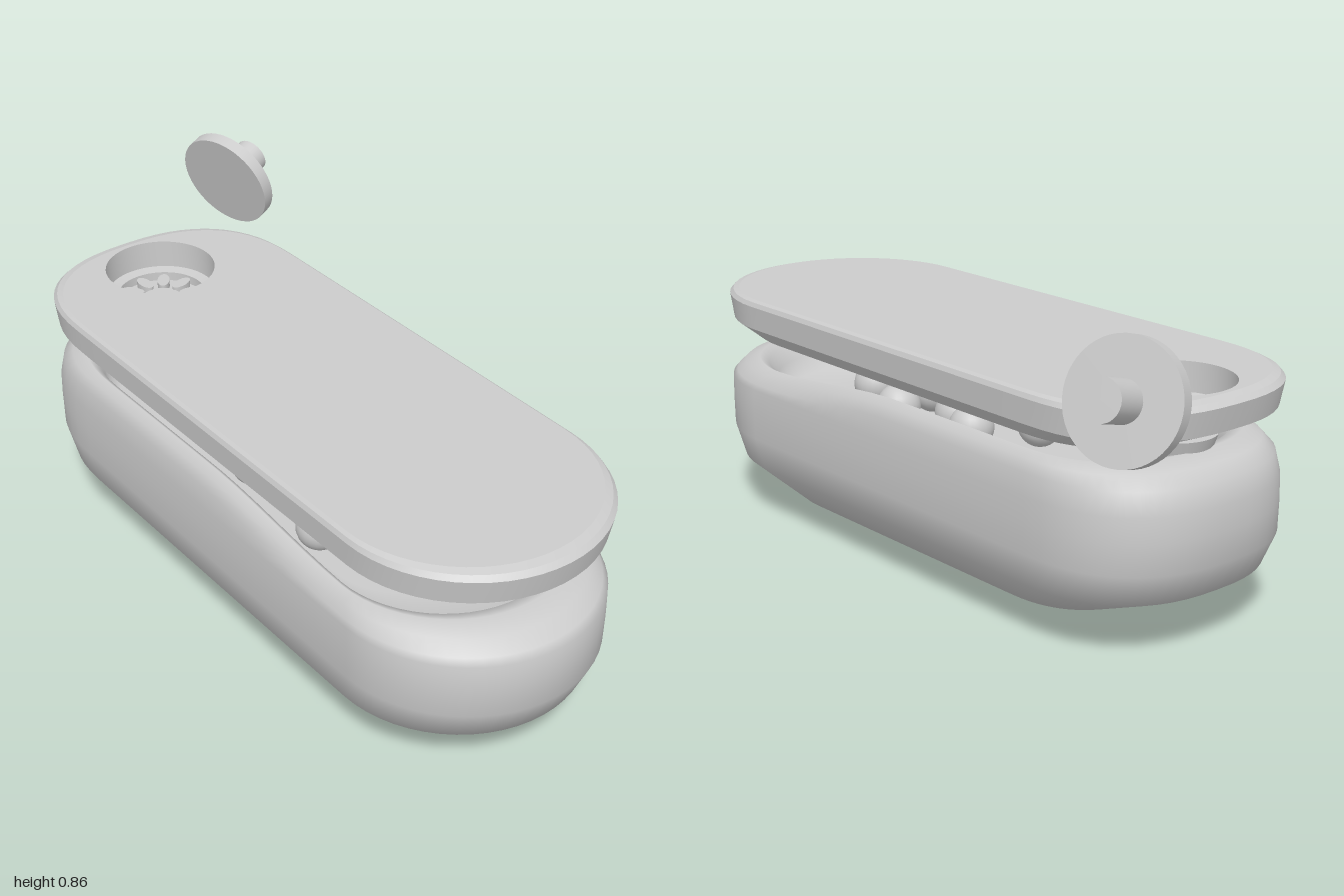
import * as THREE from 'three';
import { toCreasedNormals } from 'three/addons/utils/BufferGeometryUtils.js';

const CX = 0.085, CZ = 0.083, HOLE_X = -0.63;
const mat = new THREE.MeshStandardMaterial({ color: 0xcccccc });
const thin = new THREE.MeshStandardMaterial({ color: 0xcccccc, side: THREE.DoubleSide });

function add(parent, name, geometry, material = mat) {
  const mesh = new THREE.Mesh(geometry, material);
  mesh.name = name;
  parent.add(mesh);
  return mesh;
}

// Plan outline about its centre: round right end, squarer left end
function outline() {
  const R = 0.345, half = 0.57, n = 28, s = 14, pts = [];
  for (let i = 0; i < n; i++) {
    const a = -Math.PI / 2 + Math.PI * i / n;
    pts.push([half + R * Math.cos(a), R * Math.sin(a)]);
  }
  for (let i = 0; i < s; i++) pts.push([half - 2 * half * i / s, R]);
  for (let i = 0; i < n; i++) {
    const a = Math.PI * i / n, c = Math.cos(a);
    pts.push([-half - R * Math.sin(a) ** 0.8, R * Math.sign(c) * Math.abs(c) ** 0.8]);
  }
  for (let i = 0; i < s; i++) pts.push([-half + 2 * half * i / s, -R]);
  return pts;
}
const plan = outline();

// Skin scaled copies of the outline; height is a number or a rule of x
function loft(profile) {
  const pos = [], idx = [], n = plan.length;
  for (const [k, y] of profile)
    for (const [px, pz] of plan) {
      const x = CX + px * k;
      pos.push(x, typeof y === 'function' ? y(x) : y, CZ + pz * k);
    }
  for (let j = 0; j < profile.length - 1; j++)
    for (let i = 0; i < n; i++) {
      const a = j * n + i, b = j * n + (i + 1) % n;
      if (profile[j][0] > 0) idx.push(a, a + n, b);
      if (profile[j + 1][0] > 0) idx.push(b, a + n, b + n);
      else if (profile[j][0] === 0) idx.push(b, a + n, b + n);
    }
  const g = new THREE.BufferGeometry();
  g.setAttribute('position', new THREE.Float32BufferAttribute(pos, 3));
  g.setIndex(idx);
  g.computeVertexNormals();
  return g;
}

export function createModel() {
  const model = new THREE.Group();
  model.name = 'openCase';

  // Bowl with a rim that dips toward the right end
  const rim = d => x => 0.487 - 0.042 * THREE.MathUtils.smoothstep(x, 0.05, 0.6) - d;
  add(model, 'bowl', loft([
    [0, 0], [0.72, 0.063], [0.957, 0.155], [0.998, 0.24], [1, 0.32], [0.998, 0.385],
    [0.98, rim(0.045)], [0.94, rim(0.016)], [0.88, rim(0)], [0.84, rim(0.01)],
    [0.81, rim(0.05)], [0.77, 0.35], [0.6, 0.34], [0, 0.34],
  ]));

  // Loose beads in the bowl
  const beads = new THREE.Group();
  beads.name = 'beads';
  model.add(beads);
  const bead = new THREE.SphereGeometry(0.06, 24, 16);
  const spots = [[-0.12, 0.12], [0.0, 0.22], [0.1, 0.02], [0.16, 0.2], [0.3, 0.1],
    [0.32, 0.25], [0.45, 0.18], [0.46, 0.02], [-0.02, -0.03], [0.25, -0.06]];
  for (const [x, z] of spots) add(beads, 'bead', bead).position.set(x, 0.395, z);

  // Lid shell, and its top with a round opening
  const lid = new THREE.Group();
  lid.name = 'lid';
  model.add(lid);
  const topScale = 0.96;
  add(lid, 'lidShell', toCreasedNormals(loft([
    [0, 0.5], [0.72, 0.503], [0.88, 0.52], [0.985, 0.56], [1, 0.625], [0.985, 0.637], [topScale, 0.643],
  ]), 0.4));
  const top = new THREE.Shape(plan.map(([x, z]) =>
    new THREE.Vector2(CX + x * topScale, -(CZ + z * topScale))));
  const hole = new THREE.Path();
  hole.absarc(HOLE_X, -CZ, 0.15, 0, Math.PI * 2, true);
  top.holes.push(hole);
  const topFace = add(lid, 'lidTop', new THREE.ShapeGeometry(top, 24));
  topFace.rotation.x = -Math.PI / 2;
  topFace.position.y = 0.643;

  // Stepped well, spoked grille and tapered spout under it
  const well = new THREE.Group();
  well.name = 'well';
  well.position.set(HOLE_X, 0, CZ);
  lid.add(well);
  const profile = [[0.15, 0.643], [0.15, 0.565], [0.122, 0.56], [0.122, 0.535], [0, 0.535]]
    .map(([r, y]) => new THREE.Vector2(r, y));
  add(well, 'wellWall', toCreasedNormals(new THREE.LatheGeometry(profile, 48), 0.6), thin);
  add(well, 'spout', new THREE.CylinderGeometry(0.11, 0.078, 0.09, 40)).position.y = 0.47;
  add(well, 'grilleHub', new THREE.CylinderGeometry(0.055, 0.055, 0.012, 20)).position.y = 0.541;
  const spoke = new THREE.CylinderGeometry(0.017, 0.017, 0.02, 16);
  spoke.scale(2, 1, 1);
  for (let i = 0; i < 10; i++) {
    const a = i * Math.PI / 5;
    const m = add(well, 'grilleSpoke', spoke);
    m.position.set(0.086 * Math.cos(a), 0.545, 0.086 * Math.sin(a));
    m.rotation.y = -a;
  }

  // Detached plug: disc with a short stem, tilted behind the lid
  const plug = new THREE.Group();
  plug.name = 'plug';
  plug.position.set(-0.857, 0.713, -0.305);
  plug.quaternion.setFromUnitVectors(new THREE.Vector3(0, 1, 0),
    new THREE.Vector3(-0.3, 0.3, -1).normalize());
  add(plug, 'plugDisc', new THREE.CylinderGeometry(0.145, 0.145, 0.036, 48));
  add(plug, 'plugStem', new THREE.CylinderGeometry(0.05, 0.05, 0.1, 32)).position.y = 0.066;
  model.add(plug);

  return model;
}
